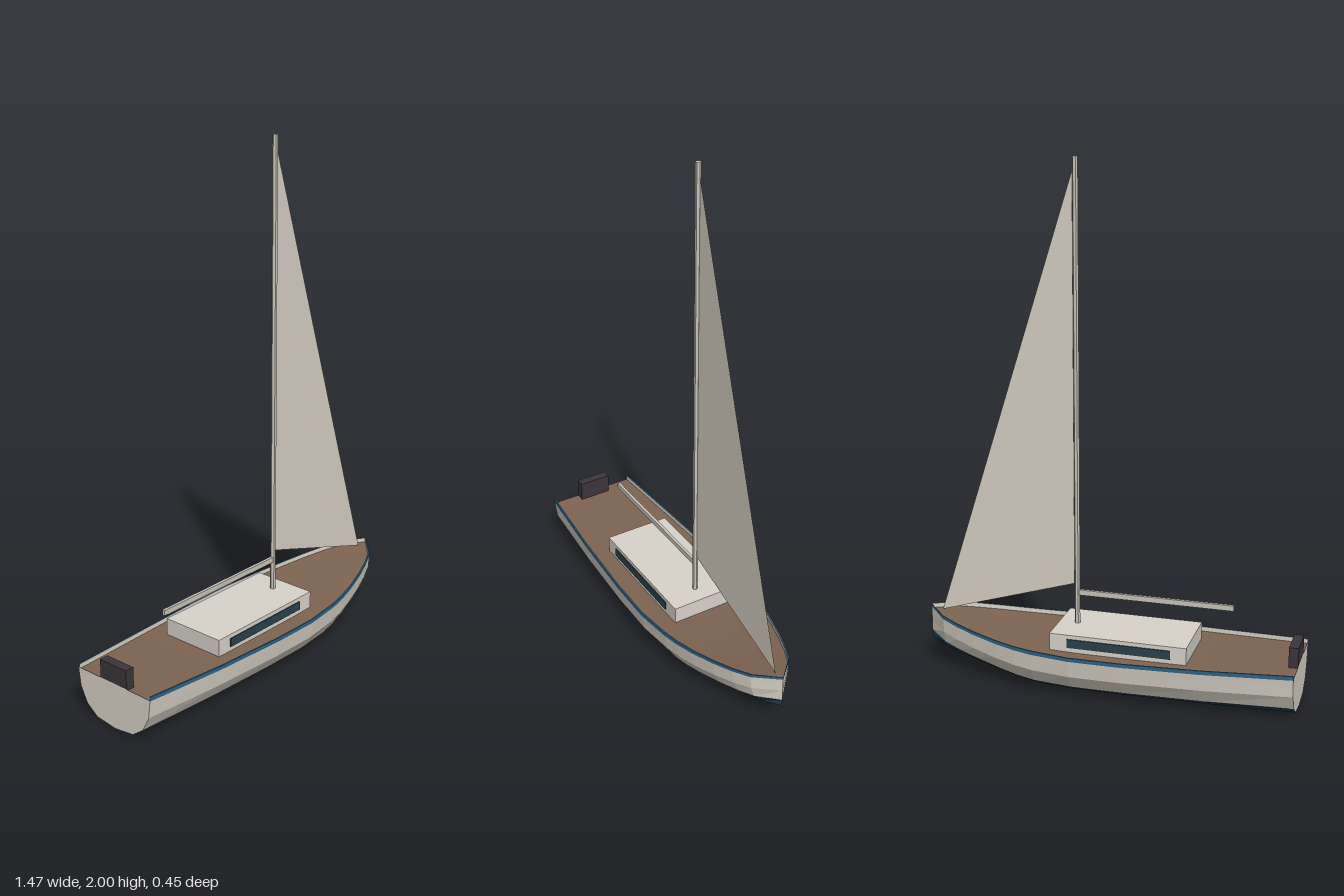
import * as THREE from 'three';

const mat = (name, color, extra = {}) => {
  const m = new THREE.MeshStandardMaterial({ color, ...extra });
  m.name = name;
  return m;
};

// Hull stations, stern to bow: x, half width, keel height, sheer height
const stations = [
  [-0.735, 0.18, 0.003, 0.196], [-0.4, 0.206, 0, 0.187], [-0.1, 0.222, 0, 0.184],
  [0.1, 0.224, 0, 0.184], [0.25, 0.209, 0.003, 0.188], [0.32, 0.197, 0.012, 0.192],
  [0.4, 0.178, 0.028, 0.199], [0.5, 0.148, 0.05, 0.211], [0.58, 0.118, 0.067, 0.222],
  [0.65, 0.085, 0.083, 0.233], [0.733, 0, 0.1, 0.246],
];
// Cross-section: fraction of half width, fraction of height (keel to sheer)
const section = [[0, 0], [0.5, 0.06], [0.78, 0.25], [0.95, 0.56], [1, 0.92], [1, 1]];
const RAIL = 0.006;

const hullPoint = (k) => ([x, w, lo, hi]) => [x, lo + (hi - lo) * section[k][1], w * section[k][0]];
const railPoint = (drop) => ([x, w, , hi]) => [x, hi - drop, Math.max(w - RAIL, 0)];

function fromQuads(quads) {
  const pos = [];
  for (const [a, b, c, d] of quads) pos.push(...a, ...b, ...c, ...a, ...c, ...d);
  const g = new THREE.BufferGeometry();
  g.setAttribute('position', new THREE.Float32BufferAttribute(pos, 3));
  g.computeVertexNormals();
  return g;
}

// Strip along the hull between two lines, mirrored to both sides
function strip(lower, upper) {
  const quads = [];
  const flip = ([x, y, z]) => [x, y, -z];
  for (let i = 0; i < stations.length - 1; i++) {
    const s = stations[i], t = stations[i + 1];
    const q = [lower(s), lower(t), upper(t), upper(s)];
    quads.push(q, q.map(flip).reverse());
  }
  return quads;
}

export function createModel() {
  const boat = new THREE.Group();
  boat.name = 'sailboat';

  const hullWhite = mat('hull white', 0xd9d3c7, { flatShading: true });
  const bottomBlue = mat('bottom navy', 0x1f3f54, { flatShading: true });
  const stripeBlue = mat('stripe blue', 0x2f6284, { flatShading: true });
  const deckBrown = mat('deck brown', 0x7d6451);
  const cabinWhite = mat('cabin white', 0xd8d4cb);
  const glass = mat('window glass', 0x2a404c);
  const sparGrey = mat('spar grey', 0xc9c5b9, { flatShading: true });
  const sailCloth = mat('sail cloth', 0xd6cfc3, { side: THREE.DoubleSide });
  const motorDark = mat('motor dark', 0x3a353a);

  const add = (name, geo, material, x = 0, y = 0, z = 0) => {
    const m = new THREE.Mesh(geo, material);
    m.name = name;
    m.position.set(x, y, z);
    boat.add(m);
    return m;
  };

  // Hull bands
  const band = (a, b) => strip(hullPoint(a), hullPoint(b));
  add('hullBottom', fromQuads([...band(0, 1), ...band(1, 2)]), bottomBlue);
  add('hullSides', fromQuads([...band(2, 3), ...band(3, 4)]), hullWhite);
  add('sheerStripe', fromQuads([...band(4, 5), ...strip(hullPoint(5), railPoint(0))]), stripeBlue);
  add('railInside', fromQuads(strip(railPoint(0), railPoint(0.018))), hullWhite);

  // Deck, just below the sheer
  const centre = ([x, , , hi]) => [x, hi - 0.018, 0];
  add('deck', fromQuads(strip(railPoint(0.018), centre)), deckBrown);

  // Flat transom, closed up to deck height
  const [sx, sw, slo, shi] = stations[0];
  const outline = section.map(([w, h]) => [w * sw, slo + (shi - slo) * h]);
  outline[outline.length - 1][1] = shi - 0.012;
  const transomShape = new THREE.Shape();
  outline.forEach(([z, y], i) => (i ? transomShape.lineTo(z, y) : transomShape.moveTo(z, y)));
  outline.slice(1).reverse().forEach(([z, y]) => transomShape.lineTo(-z, y));
  add('transom', new THREE.ShapeGeometry(transomShape), hullWhite, sx).rotation.y = -Math.PI / 2;

  // Cabin with a long window on each side
  add('cabin', new THREE.BoxGeometry(0.53, 0.075, 0.264), cabinWhite, -0.066, 0.1975, 0);
  for (const side of [1, -1]) {
    add(side > 0 ? 'frontWindow' : 'backWindow', new THREE.BoxGeometry(0.4, 0.034, 0.006),
      glass, -0.07, 0.202, side * 0.133);
  }

  // Mast and boom
  add('mast', new THREE.CylinderGeometry(0.0105, 0.0105, 1.78, 6), sparGrey, 0.128, 1.11, 0)
    .rotation.y = Math.PI / 2;
  add('boom', new THREE.BoxGeometry(0.61, 0.021, 0.012), sparGrey, -0.175, 0.36, 0);

  // Headsail
  const sail = new THREE.Shape();
  sail.moveTo(0.139, 0.393);
  sail.lineTo(0.685, 0.228);
  sail.lineTo(0.139, 1.95);
  add('headsail', new THREE.ShapeGeometry(sail), sailCloth);

  // Outboard motor at the stern
  add('motor', new THREE.BoxGeometry(0.036, 0.085, 0.13), motorDark, -0.717, 0.2135, 0);

  return boat;
}
